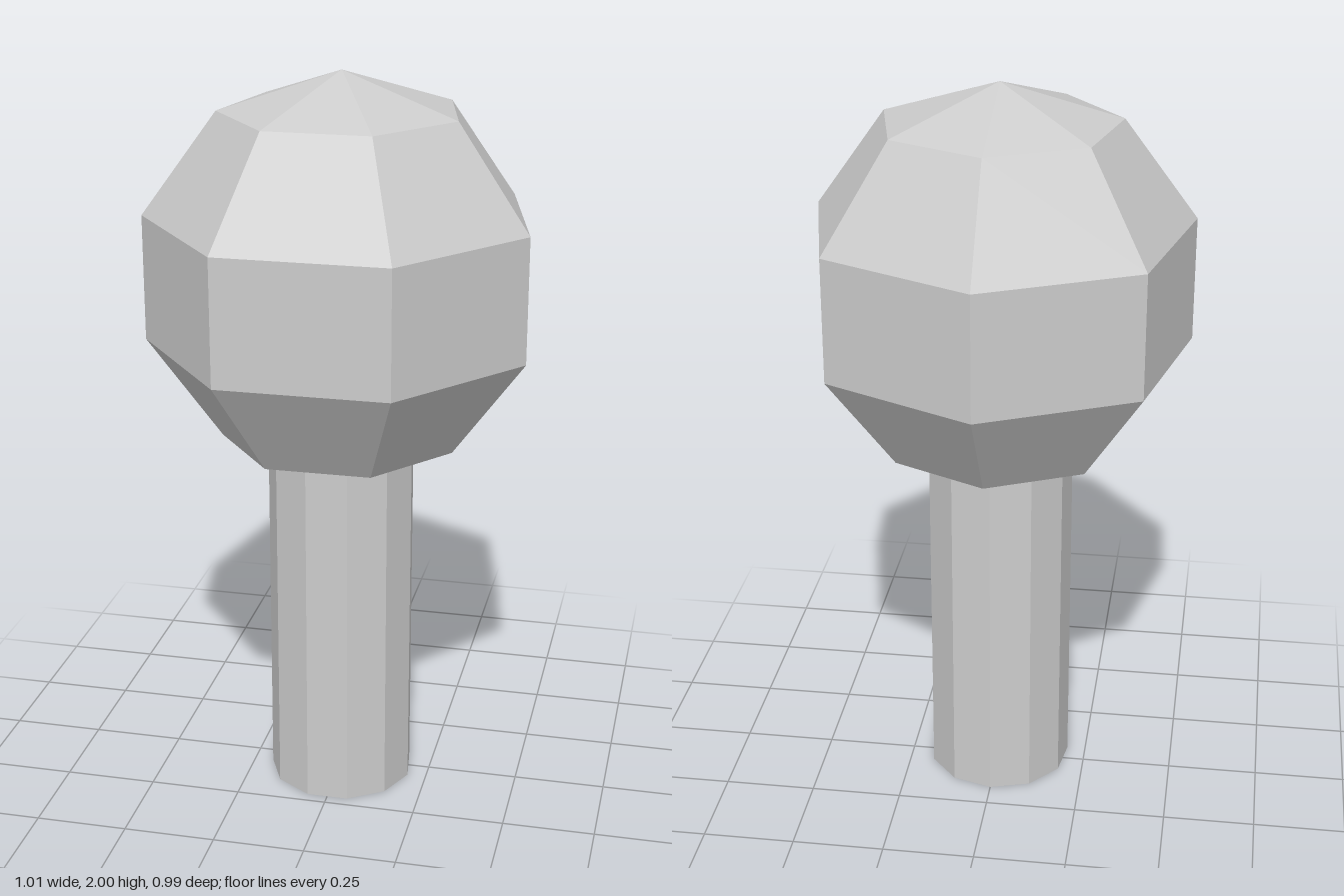
import * as THREE from 'three';

export function createModel() {
  const group = new THREE.Group();
  const grey = new THREE.MeshStandardMaterial({ color: 0xcccccc });
  grey.name = 'light grey';
  grey.flatShading = true;

  const add = (name, geometry, y) => {
    const mesh = new THREE.Mesh(geometry, grey);
    mesh.name = name;
    mesh.position.set(0, y, 0.026);
    group.add(mesh);
  };

  // Eleven-sided trunk with a corner at the back, its top hidden in the crown
  add('trunk', new THREE.CylinderGeometry(0.2, 0.2, 1.05, 11, 1, false, Math.PI), 0.525);

  // Seven-sided round crown with a corner at the back
  const crown = new THREE.SphereGeometry(0.545, 7, 5);
  crown.scale(0.954 / 0.951, 1, 0.954 / 0.951);
  crown.rotateY(-Math.PI / 2);
  add('crown', crown, 1.455);

  return group;
}
